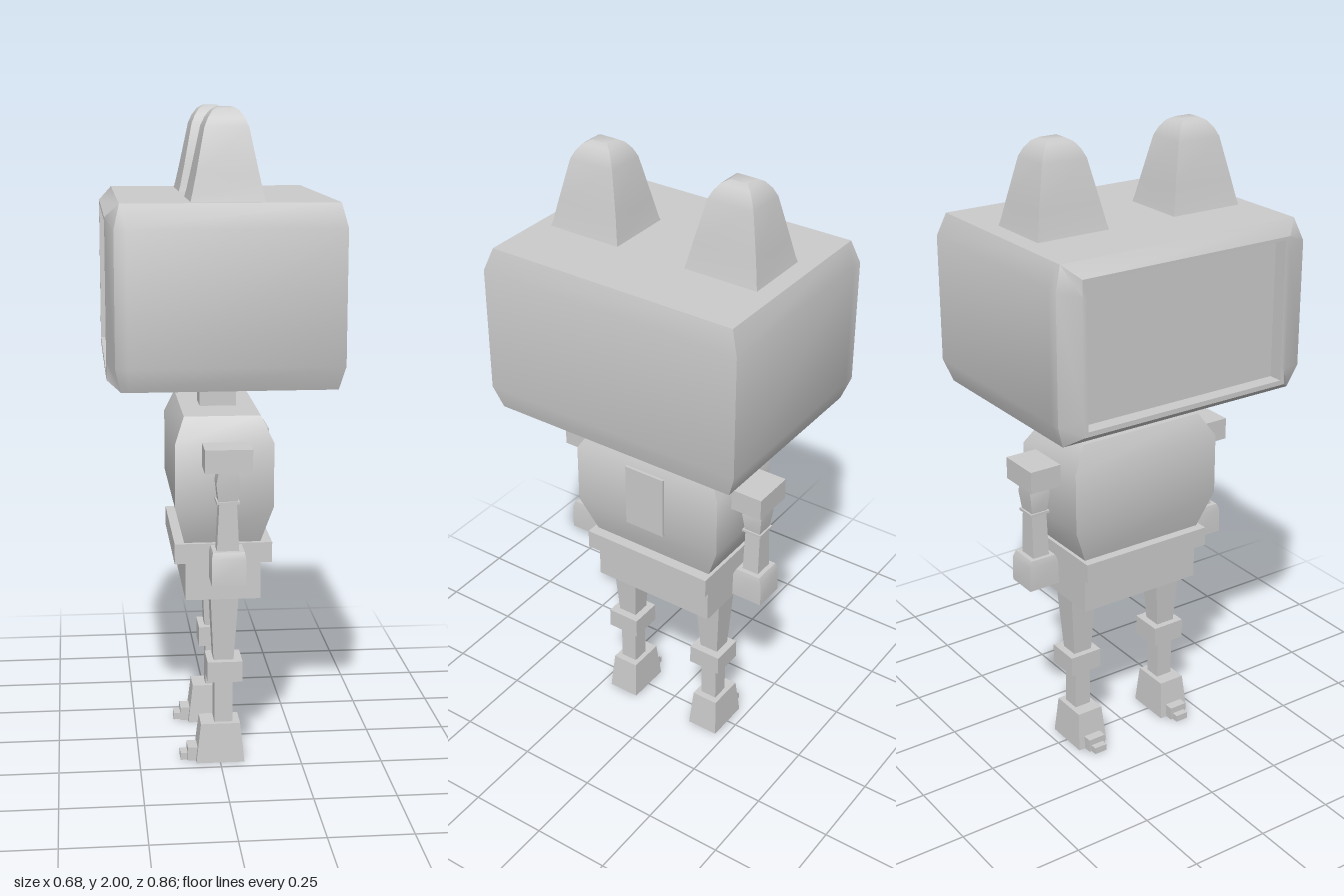
import * as THREE from 'three';
import { toCreasedNormals } from 'three/addons/utils/BufferGeometryUtils.js';

const material = new THREE.MeshStandardMaterial({ color: 0xcccccc });

// Skin a series of rings (each counter-clockwise around the direction of travel).
function loft(name, rings, startCap = true) {
  const n = rings[0].length;
  const index = [];
  for (let r = 0; r < rings.length - 1; r++) {
    for (let j = 0; j < n; j++) {
      const a = r * n + j, b = r * n + (j + 1) % n;
      index.push(a, b, b + n, a, b + n, a + n);
    }
  }
  const last = (rings.length - 1) * n;
  for (let j = 1; j < n - 1; j++) {
    if (startCap) index.push(0, j + 1, j);
    index.push(last, last + j, last + j + 1);
  }
  const geometry = new THREE.BufferGeometry();
  geometry.setAttribute('position', new THREE.Float32BufferAttribute(rings.flat(2), 3));
  geometry.setIndex(index);
  const mesh = new THREE.Mesh(toCreasedNormals(geometry, 0.6), material);
  mesh.name = name;
  return mesh;
}

// Rectangular sections stacked upward: [y, xMin, xMax, zMin, zMax].
function stack(name, levels) {
  return loft(name, levels.map(([y, x0, x1, z0, z1]) =>
    [[x0, y, z1], [x1, y, z1], [x1, y, z0], [x0, y, z0]]));
}

function block(name, x0, x1, y0, y1, z0, z1) {
  return stack(name, [[y0, x0, x1, z0, z1], [y1, x0, x1, z0, z1]]);
}

// Ring facing -x, from half of its outline: [x, y, z] from bottom to top.
const faceRing = half => [...half, ...half.map(([x, y, z]) => [x, y, -z]).reverse()];

function createHead() {
  const head = new THREE.Group();
  head.name = 'head';
  head.add(stack('headShell', [
    [1.21, -0.28, 0.32, -0.405, 0.405],
    [1.28, -0.28, 0.337, -0.43, 0.43],
    [1.67, -0.28, 0.337, -0.43, 0.43],
    [1.74, -0.28, 0.32, -0.405, 0.405],
  ]));

  // Raised bezel around a sunken screen
  const outer = (flat, bulge) => faceRing([
    [flat, 1.21, 0.405], [bulge, 1.28, 0.43], [bulge, 1.67, 0.43], [flat, 1.74, 0.405]]);
  const inner = (x, z, y0, y1) => faceRing([
    [x, y0, z], [x, y0 + 0.05, z], [x, y1 - 0.05, z], [x, y1, z]]);
  head.add(loft('screenBezel', [
    outer(-0.28, -0.28),
    outer(-0.30, -0.317),
    inner(-0.34, 0.36, 1.24, 1.70),
    inner(-0.34, 0.345, 1.255, 1.69),
    inner(-0.295, 0.345, 1.255, 1.69),
  ], false));

  // Flared ears with domed tips: [y, half width x, half width z]
  const profile = [[1.73, 0.109, 0.122], [1.76, 0.101, 0.114], [1.82, 0.088, 0.102],
    [1.945, 0.063, 0.074], [1.97, 0.052, 0.062], [1.99, 0.038, 0.046], [2.0, 0.022, 0.028]];
  for (const [side, z] of [['left', 0.239], ['right', -0.229]]) {
    head.add(stack(side + 'Ear', profile.map(([y, w, d]) =>
      [y, 0.007 - w, 0.007 + w, z - d, z + d])));
  }
  return head;
}

function createTorso() {
  const torso = new THREE.Group();
  torso.name = 'torso';
  torso.add(
    block('neck', -0.05, 0.062, 1.08, 1.22, -0.05, 0.056),
    stack('chest', [
      [0.71, -0.11, 0.12, -0.21, 0.215],
      [0.83, -0.14, 0.155, -0.26, 0.262],
      [1.025, -0.14, 0.155, -0.26, 0.262],
      [1.10, -0.11, 0.12, -0.21, 0.215],
    ]),
    block('backPanel', 0.14, 0.162, 0.82, 1.03, -0.067, 0.072),
    block('belt', -0.14, 0.155, 0.65, 0.712, -0.222, 0.23),
    block('hips', -0.107, 0.122, 0.53, 0.65, -0.21, 0.212),
  );
  return torso;
}

// Limbs are built around z = 0 and then placed on each side.
function createArm(name) {
  const arm = new THREE.Group();
  arm.name = name;
  arm.add(
    block('shoulder', -0.06, 0.08, 0.96, 1.03, -0.052, 0.052),
    stack('upperArm', [
      [0.87, -0.019, 0.039, -0.027, 0.027],
      [0.925, -0.025, 0.045, -0.034, 0.034],
      [0.96, -0.018, 0.038, -0.034, 0.034],
    ]),
    block('elbow', -0.024, 0.044, 0.862, 0.87, -0.033, 0.033),
    stack('forearm', [
      [0.70, -0.024, 0.044, -0.028, 0.028],
      [0.862, -0.016, 0.036, -0.026, 0.026],
    ]),
    stack('hand', [
      [0.62, -0.04, 0.062, -0.052, 0.052],
      [0.70, -0.04, 0.062, -0.05, 0.05],
      [0.72, -0.036, 0.058, -0.042, 0.042],
    ]),
  );
  return arm;
}

function createLeg(name) {
  const leg = new THREE.Group();
  leg.name = name;
  leg.add(
    stack('thigh', [[0.33, -0.02, 0.042, -0.032, 0.032], [0.54, -0.03, 0.056, -0.046, 0.046]]),
    block('knee', -0.04, 0.068, 0.265, 0.33, -0.055, 0.055),
    block('shin', -0.017, 0.04, 0.12, 0.27, -0.028, 0.028),
    stack('foot', [[0, -0.075, 0.075, -0.053, 0.053], [0.125, -0.06, 0.062, -0.044, 0.044]]),
    block('toeBase', -0.1, -0.06, 0, 0.043, -0.03, 0.03),
    block('toeTip', -0.122, -0.095, 0, 0.022, -0.022, 0.022),
  );
  return leg;
}

export function createModel() {
  const model = new THREE.Group();
  model.name = 'robot';
  model.add(createHead(), createTorso());
  for (const [side, s] of [['left', 1], ['right', -1]]) {
    const arm = createArm(side + 'Arm');
    arm.position.z = s * 0.314;
    const leg = createLeg(side + 'Leg');
    leg.position.z = s * 0.164;
    model.add(arm, leg);
  }
  return model;
}
